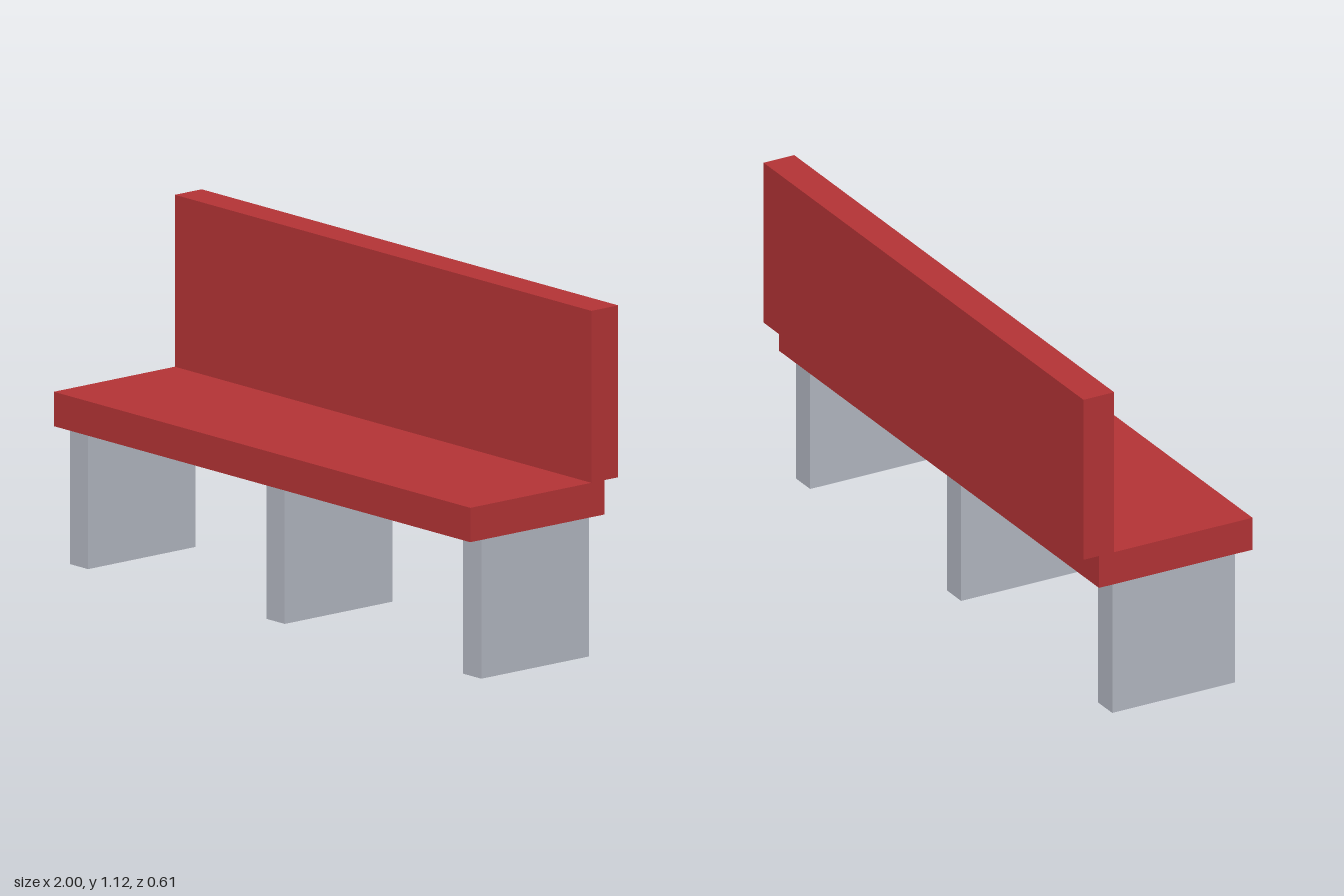
import * as THREE from 'three';

export function createModel() {
  const model = new THREE.Group();
  model.name = 'bench';

  const red = new THREE.MeshStandardMaterial({ color: 0xb33335 });
  red.name = 'red upholstery';
  const grey = new THREE.MeshStandardMaterial({ color: 0xb2b6c0 });
  grey.name = 'light grey';

  // Box given by its extents on each axis
  function addBox(name, material, [x0, x1], [y0, y1], [z0, z1]) {
    const mesh = new THREE.Mesh(new THREE.BoxGeometry(x1 - x0, y1 - y0, z1 - z0), material);
    mesh.position.set((x0 + x1) / 2, (y0 + y1) / 2, (z0 + z1) / 2);
    mesh.name = name;
    model.add(mesh);
  }

  // Seat slab, with the backrest standing on its rear edge and overhanging it
  addBox('seat', red, [-1, 1], [0.452, 0.563], [-0.25, 0.306]);
  addBox('backrest', red, [-1, 1], [0.563, 1.118], [-0.306, -0.195]);

  // Three slab legs
  const half = 0.044;
  for (const [name, x] of [['rightLeg', -0.944], ['middleLeg', 0], ['leftLeg', 0.944]]) {
    addBox(name, grey, [x - half, x + half], [0, 0.452], [-0.195, 0.25]);
  }

  return model;
}
